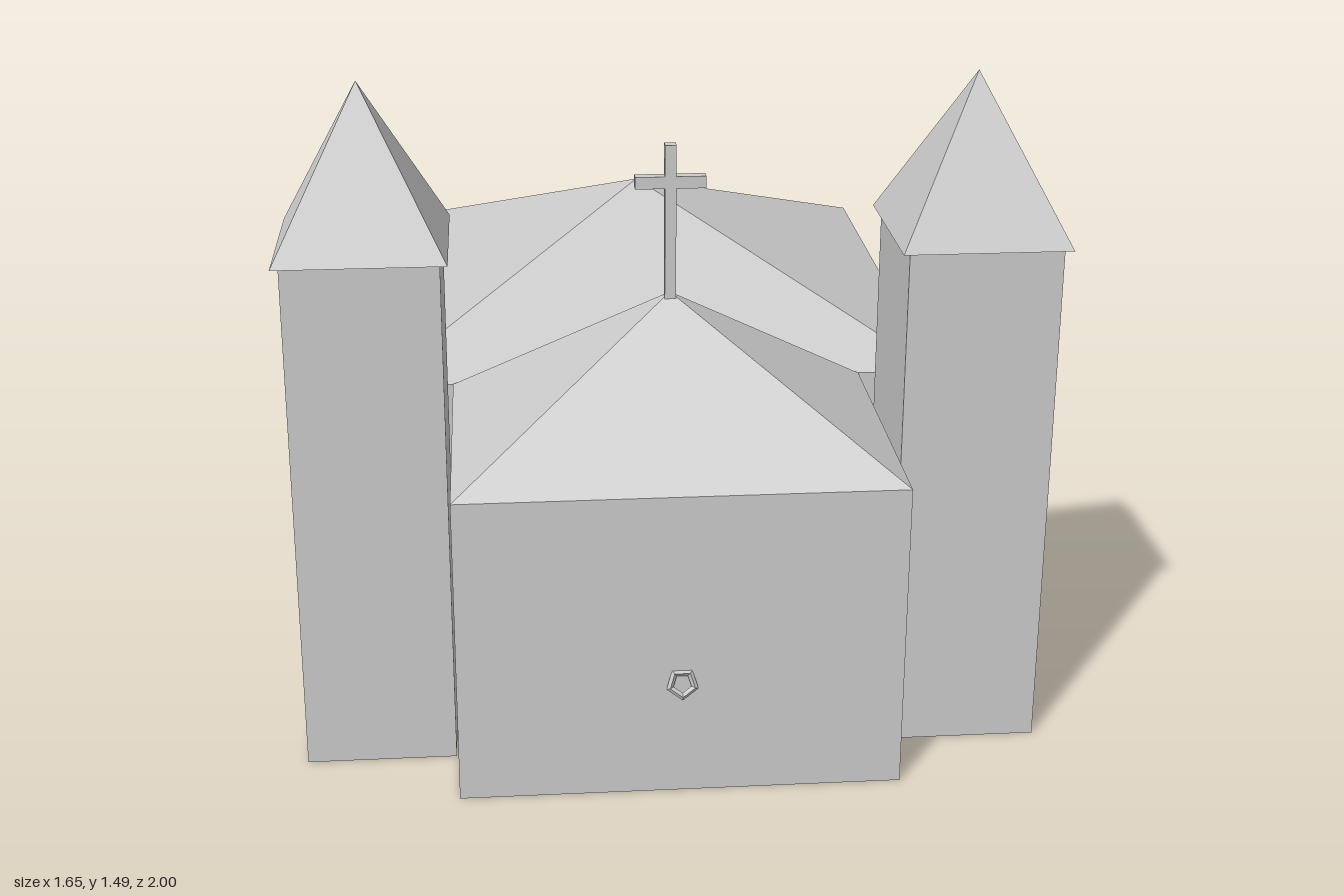
import * as THREE from 'three';

const material = new THREE.MeshStandardMaterial({
  color: 0xcccccc, flatShading: true, side: THREE.DoubleSide,
});

function add(parent, name, geometry, x = 0, y = 0, z = 0) {
  const mesh = new THREE.Mesh(geometry, material);
  mesh.name = name;
  mesh.position.set(x, y, z);
  parent.add(mesh);
  return mesh;
}

// Thin upright walls along a counter-clockwise path of [x, z] points.
function walls(path, height) {
  const positions = [];
  for (let i = 0; i < path.length - 1; i++) {
    const [ax, az] = path[i], [bx, bz] = path[i + 1];
    positions.push(
      ax, 0, az, bx, 0, bz, bx, height, bz,
      ax, 0, az, bx, height, bz, ax, height, az);
  }
  const geometry = new THREE.BufferGeometry();
  geometry.setAttribute('position', new THREE.Float32BufferAttribute(positions, 3));
  geometry.computeVertexNormals();
  return geometry;
}

// Open-bottomed pyramid on a rectangular base at y = 0.
function pyramid(width, depth, height) {
  return new THREE.ConeGeometry(Math.SQRT1_2, 1, 4, 1, true)
    .rotateY(Math.PI / 4)
    .translate(0, 0.5, 0)
    .scale(width, height, depth);
}

export function createModel() {
  const church = new THREE.Group();
  church.name = 'church';
  const eaves = 0.69, hallX = 0.66, porchX = 0.475, joinZ = 0.32, frontZ = 0.98;

  // Main hall, open where it meets the porch
  const hall = new THREE.Group();
  hall.name = 'hall';
  church.add(hall);
  add(hall, 'hallWalls', walls([
    [porchX, joinZ], [hallX, joinZ], [hallX, -1],
    [-hallX, -1], [-hallX, joinZ], [-porchX, joinZ],
  ], eaves));
  add(hall, 'hallRoof', pyramid(2 * hallX, 1 + joinZ, 0.295), 0, eaves, (joinZ - 1) / 2);

  // Front porch
  const porch = new THREE.Group();
  porch.name = 'porch';
  church.add(porch);
  const porchZ = (joinZ + frontZ) / 2;
  add(porch, 'porchWalls', walls([
    [-porchX, joinZ], [-porchX, frontZ], [porchX, frontZ], [porchX, joinZ],
  ], eaves));
  add(porch, 'porchRoof', pyramid(2 * porchX, frontZ - joinZ, 0.33), 0, eaves, porchZ);

  // Twin towers with overhanging spires
  const t = 0.163;
  for (const [side, label] of [[1, 'left'], [-1, 'right']]) {
    const tower = new THREE.Group();
    tower.name = label + 'Tower';
    tower.position.set(side * 0.646, 0, 0.647);
    church.add(tower);
    add(tower, 'towerWalls', walls([[-t, t], [t, t], [t, -t], [-t, -t], [-t, t]], 1.15));
    add(tower, 'spire', pyramid(0.358, 0.358, 0.345), 0, 1.147, 0);
  }

  // Roof cross
  const cross = new THREE.Group();
  cross.name = 'cross';
  cross.position.z = porchZ;
  church.add(cross);
  add(cross, 'crossPost', new THREE.BoxGeometry(0.024, 0.345, 0.024), 0, 1.173, 0);
  add(cross, 'crossBar', new THREE.BoxGeometry(0.15, 0.026, 0.024), 0, 1.265, 0);

  // Five-sided door ring, hanging tilted from the front wall
  const ring = add(church, 'doorRing', new THREE.TorusGeometry(0.028, 0.008, 4, 5), 0, 0.262, 0.987);
  ring.rotation.set(-0.3, 0, -Math.PI / 2);

  return church;
}
